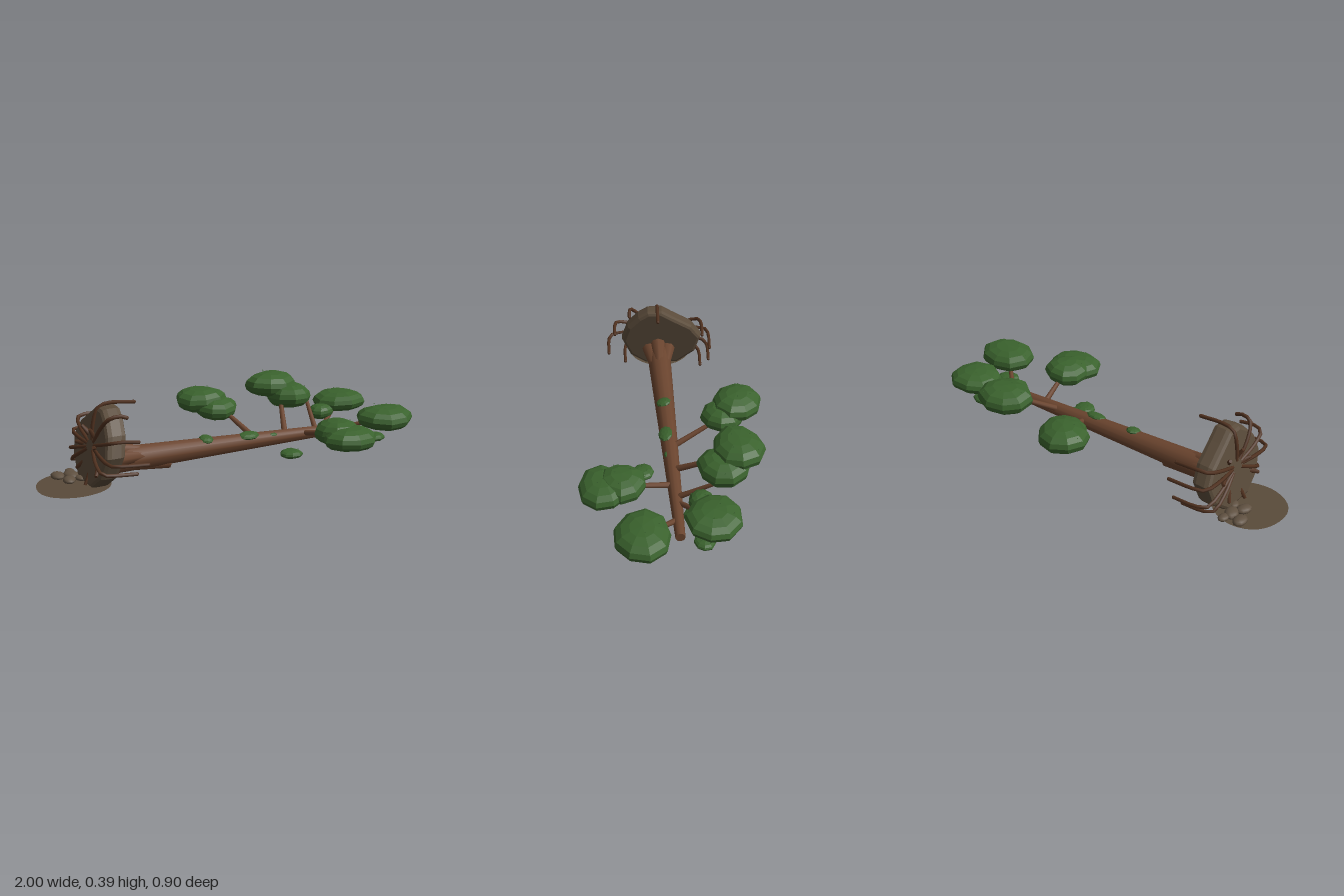
import * as THREE from 'three';

const V = (x, y, z) => new THREE.Vector3(x, y, z);

function mat(name, color, extra = {}) {
  const m = new THREE.MeshStandardMaterial({ color, ...extra });
  m.name = name;
  return m;
}

// Tapered round limb between two points
function limb(a, b, r0, r1, sides = 8) {
  const d = b.clone().sub(a);
  const g = new THREE.CylinderGeometry(r1, r0, d.length(), sides);
  g.applyQuaternion(new THREE.Quaternion().setFromUnitVectors(V(0, 1, 0), d.normalize()));
  g.translate((a.x + b.x) / 2, (a.y + b.y) / 2, (a.z + b.z) / 2);
  return g;
}

// Faceted pad of leaves: full, flattened dome with an uneven outline and flatter underside
function leafPad(rx, h, rz, seed) {
  const g = new THREE.SphereGeometry(1, 9, 8);
  g.rotateY(seed * 0.7);
  const p = g.attributes.position;
  for (let i = 0; i < p.count; i++) {
    const x = p.getX(i), y = p.getY(i), z = p.getZ(i);
    const a = Math.atan2(z, x), q = Math.hypot(x, z);
    const w = 1.02 + 0.03 * Math.sin(2 * a + seed) + 0.03 * Math.sin(3 * a + seed * 2);
    const fuller = q > 0.01 ? Math.pow(q, -0.15) : 1;
    const yy = Math.max(y, -0.9) + 0.08 * q * Math.sin(a * 2 + seed);
    p.setXYZ(i, x * rx * w * fuller, yy * h / 2, z * rz * w * fuller);
  }
  g.computeVertexNormals();
  return g;
}

export function createModel() {
  const model = new THREE.Group();
  model.name = 'fallenTree';
  const bark = mat('bark', 0x6a442e);
  const root = mat('root', 0x50311f);
  const soil = mat('soil', 0x5a4b3a, { flatShading: true });
  const ground = mat('pit soil', 0x5a4b3a, { side: THREE.DoubleSide });
  const stone = mat('stone', 0x5f5040);
  const leaf = mat('leaf', 0x3a622d, { flatShading: true });
  const fleck = mat('loose leaf', 0x33572a, { side: THREE.DoubleSide });

  const add = (name, geo, material, parent = model) => {
    const m = new THREE.Mesh(geo, material);
    m.name = name;
    parent.add(m);
    return m;
  };
  const group = (name) => {
    const g = new THREE.Group();
    g.name = name;
    model.add(g);
    return g;
  };

  // Trunk lying along x
  add('trunk', limb(V(-0.64, 0.102, 0.038), V(0.77, 0.052, -0.01), 0.064, 0.023, 12), bark);

  // Flares where the trunk meets the root plate
  const flares = group('rootFlares');
  add('lowerFlare', limb(V(-0.64, 0.085, 0.03), V(-0.342, 0.046, 0.03), 0.04, 0.032), bark, flares);
  [[0.155, 0.04], [0.12, 0.085], [0.12, -0.01]].forEach(([y, z]) =>
    add('flare', limb(V(-0.66, y, z), V(-0.48, 0.102 + (y - 0.105) * 0.5, 0.035 + (z - 0.035) * 0.5), 0.042, 0.025), bark, flares));

  // Root plate: rough slab of earth, leaning toward the crown (pairs are z, y)
  const outline = [[0.09, 0.355], [0.025, 0.358], [-0.03, 0.32], [-0.13, 0.255], [-0.175, 0.19], [-0.15, 0.1],
    [-0.06, 0.026], [0.1, 0.026], [0.18, 0.085], [0.218, 0.18], [0.19, 0.265], [0.135, 0.325]];
  const shape = new THREE.Shape(outline.map(([z, y]) => new THREE.Vector2(-z, y)));
  const plate = new THREE.ExtrudeGeometry(shape, {
    depth: 0.045, bevelEnabled: true, bevelThickness: 0.026, bevelSize: 0.018, bevelSegments: 2,
  });
  plate.rotateY(Math.PI / 2);
  const pp = plate.attributes.position;
  for (let i = 0; i < pp.count; i++) pp.setX(i, pp.getX(i) - 0.714 + (pp.getY(i) - 0.19) * 0.2);
  plate.computeVertexNormals();
  add('rootPlate', plate, soil);

  // Roots: spread over the back of the plate, hook over the rim, then point forward
  // [angle from +z in degrees, rim distance, forward tip x]
  const roots = group('roots');
  [[89, 0.192, -0.52], [48, 0.225, -0.62], [18, 0.242, -0.6], [-5, 0.265, -0.57], [-27, 0.2, -0.59],
    [160, 0.245, -0.56], [178, 0.27, -0.55], [197, 0.28, -0.58], [210, 0.26, -0.6]].forEach(([deg, r, tip], i) => {
    const a = deg * Math.PI / 180;
    const at = (k, x, drop = 0) => {
      const y = 0.19 + Math.sin(a) * r * k - drop;
      return V(x + (y - 0.19) * 0.2, Math.max(y, 0.03), 0.04 + Math.cos(a) * r * k);
    };
    const end = at(1.02, tip, 0.012);
    end.x = tip;
    const path = new THREE.CatmullRomCurve3([at(0.15, -0.738), at(0.6, -0.748), at(0.95, -0.735),
      at(1.02, -0.69), end]);
    add('root' + (i + 1), new THREE.TubeGeometry(path, 9, 0.009, 6), root, roots);
    add('rootTip', new THREE.SphereGeometry(0.009, 6, 4), root, roots).position.copy(end);
  });
  // Short broken roots on the back face
  for (let i = 0; i < 7; i++) {
    const a = i * 0.9 + 0.4, r = 0.05 + 0.012 * i;
    const y = 0.17 + Math.sin(a) * r, z = 0.03 + Math.cos(a) * r, x = -0.728 + (y - 0.19) * 0.2;
    add('brokenRoot', limb(V(x, y, z), V(x - 0.03, y + Math.sin(a) * 0.05, z + Math.cos(a) * 0.05), 0.014, 0.008, 6), root, roots);
  }

  // Pit of bare earth behind the plate (pairs are x, z), with stones
  const pitRim = [[-0.998, 0.08], [-0.992, -0.02], [-0.955, -0.09], [-0.9, -0.13], [-0.82, -0.145], [-0.72, -0.11],
    [-0.66, -0.03], [-0.66, 0.08], [-0.71, 0.155], [-0.78, 0.19], [-0.87, 0.195], [-0.96, 0.15]];
  const pitCurve = new THREE.CatmullRomCurve3(pitRim.map(([x, z]) => V(x, -z, 0)), true);
  const pit = new THREE.ShapeGeometry(new THREE.Shape(pitCurve.getPoints(36).slice(0, 36).map((p) => new THREE.Vector2(p.x, p.y))));
  pit.rotateX(-Math.PI / 2);
  add('soilPit', pit, ground).position.y = 0.013;
  const stones = group('stones');
  [[-0.86, -0.1, 0.04], [-0.8, -0.08, 0.042], [-0.83, -0.02, 0.038], [-0.79, -0.13, 0.03], [-0.775, -0.02, 0.028]]
    .forEach(([x, z, r], i) => {
      const s = add('stone', new THREE.SphereGeometry(r, 10, 7), stone, stones);
      s.position.set(x, 0.021, z);
      s.scale.set(0.8, 0.45, 1.1);
      s.rotation.y = 0.4 * Math.sin(i * 2);
    });

  // Branches: start, end, radius
  const branches = group('branches');
  [[0.155, 0.08, -0.01, 0.09, 0.18, -0.22, 0.016], [0.33, 0.075, 0, 0.43, 0.22, -0.22, 0.016],
    [0.52, 0.065, 0, 0.57, 0.19, -0.18, 0.014], [0.54, 0.06, 0, 0.75, 0.15, -0.15, 0.014],
    [0.435, 0.07, 0.01, 0.49, 0.12, 0.22, 0.015], [0.66, 0.055, 0, 0.82, 0.13, 0.14, 0.014]]
    .forEach(([x, y, z, u, v, w, r]) =>
      add('branch', limb(V(x, y, z), V(u, v, w), r, r * 0.65), bark, branches));

  // Leaf pads: x, y, z, half width, height, half depth
  const crown = group('foliage');
  [[0.008, 0.226, -0.325, 0.13, 0.125, 0.12], [0.062, 0.188, -0.252, 0.108, 0.115, 0.108],
    [0.415, 0.266, -0.295, 0.14, 0.13, 0.122], [0.485, 0.212, -0.222, 0.12, 0.13, 0.12],
    [0.77, 0.164, -0.157, 0.145, 0.11, 0.125], [0.62, 0.13, -0.11, 0.065, 0.08, 0.058],
    [0.842, 0.136, 0.158, 0.15, 0.122, 0.13],
    [0.5, 0.12, 0.332, 0.14, 0.115, 0.118], [0.487, 0.133, 0.245, 0.12, 0.125, 0.11],
    [0.28, 0.022, 0.147, 0.058, 0.042, 0.053], [0.595, 0.021, -0.085, 0.06, 0.04, 0.053],
    [0.765, 0.022, -0.12, 0.06, 0.042, 0.05], [0.81, 0.022, 0.115, 0.06, 0.042, 0.052]]
    .forEach(([x, y, z, rx, h, rz], i) => {
      add('leafPad' + (i + 1), leafPad(rx, h, rz, i * 1.3), leaf, crown).position.set(x, y, z);
      // Loose leaves floating just off the pad
      for (let k = 0; k < 5; k++) {
        const a = k * 2.4 + i, q = 0.3 + 0.13 * k;
        const f = add('looseLeaf', new THREE.CircleGeometry(0.005, 3), fleck, crown);
        f.position.set(x + Math.cos(a) * rx * q, y + h * 0.56 * Math.sqrt(1 - q * q), z + Math.sin(a) * rz * q);
        f.rotation.set(-1.4, 0.2 * Math.sin(a), k);
      }
    });

  // Moss patches on the trunk: x, y, z, half length, half width
  const moss = group('moss');
  [[-0.14, 0.129, 0.03, 0.036, 0.038], [0.1, 0.112, 0.03, 0.058, 0.036], [0.24, 0.089, 0.028, 0.03, 0.014]].forEach(([x, y, z, r, w]) => {
    const m = add('mossPatch', new THREE.SphereGeometry(1, 9, 6), leaf, moss);
    m.position.set(x, y, z);
    m.scale.set(r, 0.015, w);
    m.rotation.x = 0.25;
  });

  return model;
}
